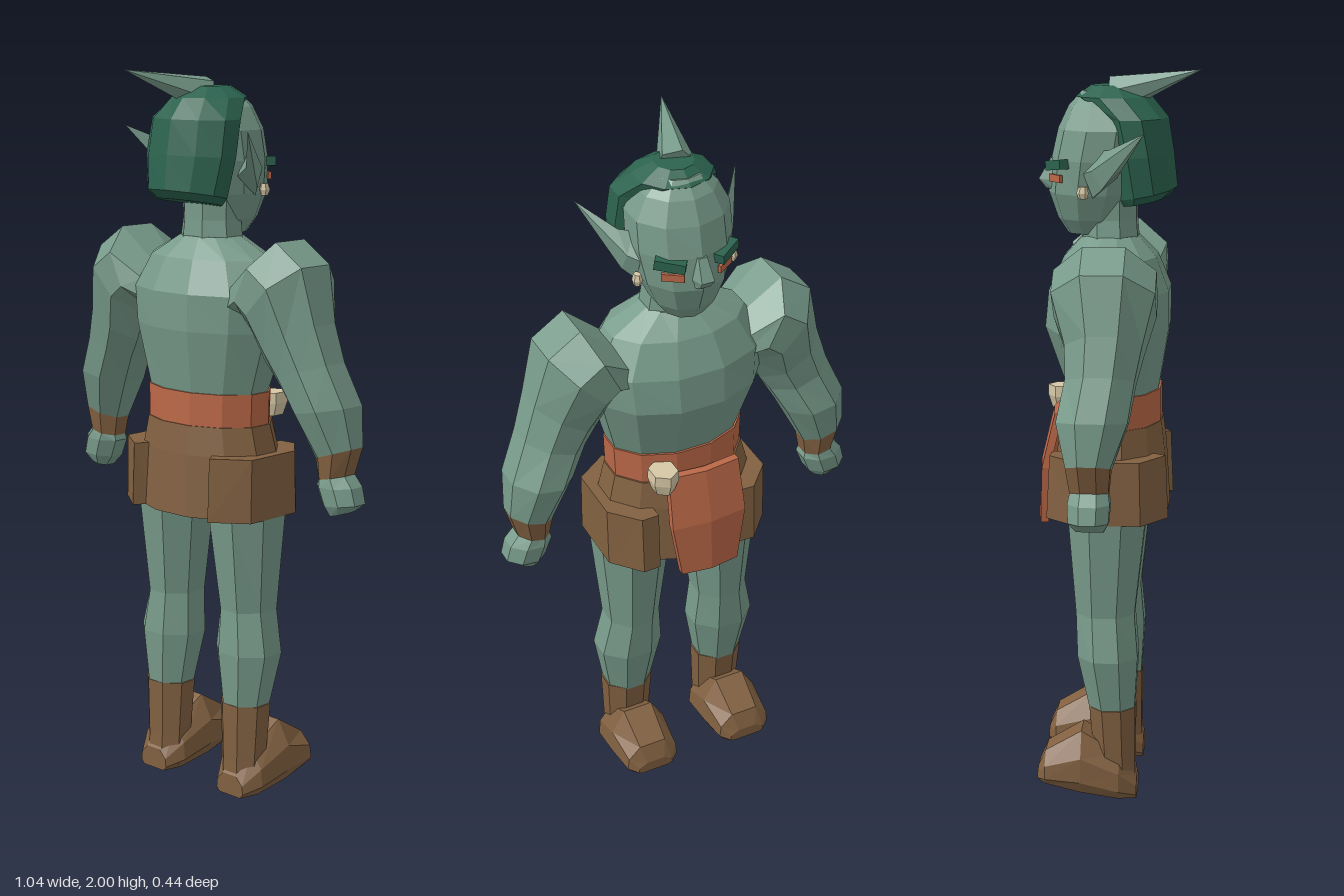
import * as THREE from 'three';

const mat = (name, color) => {
  const m = new THREE.MeshStandardMaterial({ color });
  m.name = name;
  return m;
};
const V = (x, y, z) => new THREE.Vector3(x, y, z);

// Closed faceted solid through rings of equal point count, turned outward by its signed volume
function loft(rings) {
  const tris = [];
  const n = rings[0].length;
  for (let i = 0; i + 1 < rings.length; i++) {
    for (let j = 0; j < n; j++) {
      const k = (j + 1) % n;
      const [a, b, c, d] = [rings[i][j], rings[i][k], rings[i + 1][k], rings[i + 1][j]];
      tris.push([a, b, c], [a, c, d]);
    }
  }
  const end = rings[rings.length - 1];
  for (let j = 1; j + 1 < n; j++) {
    tris.push([rings[0][0], rings[0][j + 1], rings[0][j]], [end[0], end[j], end[j + 1]]);
  }
  const origin = rings[0][0];
  let volume = 0;
  for (const [a, b, c] of tris) {
    volume += a.clone().sub(origin).dot(b.clone().sub(origin).cross(c.clone().sub(origin)));
  }
  const pos = [];
  for (const [a, b, c] of tris) {
    if (b.clone().sub(a).cross(c.clone().sub(a)).lengthSq() < 1e-16) continue;
    for (const p of volume < 0 ? [a, c, b] : [a, b, c]) pos.push(p.x, p.y, p.z);
  }
  const g = new THREE.BufferGeometry();
  g.setAttribute('position', new THREE.Float32BufferAttribute(pos, 3));
  g.computeVertexNormals();
  return g;
}

// Level ring with flat sides: height, centre x, half width, back z, face-side z, optional slope in z
function ring(n, y, cx, rx, zb, zf, slope = 0) {
  const s = 1 / Math.cos(Math.PI / n);
  return Array.from({ length: n }, (_, i) => {
    const a = ((i + 0.5) / n) * Math.PI * 2;
    const z = (zb + zf) / 2 + ((zb - zf) / 2) * s * Math.sin(a);
    return V(cx + rx * s * Math.cos(a), y + slope * z, z);
  });
}
const column = (n, rows) => loft(rows.map(r => ring(n, ...r)));

// Ring spanned between an outer and an inner point of a limb
function limbRing(side, [ox, oy, ix, iy, cz, hz]) {
  const s = 1 / Math.cos(Math.PI / 8);
  return Array.from({ length: 8 }, (_, i) => {
    const a = ((i + 0.5) / 8) * Math.PI * 2;
    const t = (Math.cos(a) * s) / 2;
    return V(side * ((ox + ix) / 2 + (ox - ix) * t), (oy + iy) / 2 + (oy - iy) * t, cz + hz * s * Math.sin(a));
  });
}

export function createModel() {
  const model = new THREE.Group();
  const skin = mat('green skin', 0x789b8b);
  const hair = mat('dark green hair', 0x2c634f);
  const leather = mat('brown leather', 0x826141);
  const cloth = mat('rust cloth', 0xbb6848);
  const bone = mat('bone', 0xd6c8a6);
  const add = (name, geo, m) => {
    const mesh = new THREE.Mesh(geo, m);
    mesh.name = name;
    model.add(mesh);
    return mesh;
  };

  // Torso, neck and clothing round the waist
  add('torso', column(12, [
    [1.12, 0, 0.185, 0.105, -0.14], [1.14, 0, 0.188, 0.107, -0.142], [1.31, 0, 0.235, 0.135, -0.2],
    [1.41, 0, 0.245, 0.135, -0.19], [1.5, 0, 0.19, 0.1, -0.15], [1.555, 0, 0.09, 0.05, -0.1]]), skin);
  add('neck', column(8, [[1.53, 0, 0.09, 0.05, -0.1], [1.6, 0, 0.08, 0.045, -0.1], [1.7, 0, 0.085, 0.045, -0.1]]), skin);
  add('waistSash', column(12, [[1.03, 0, 0.188, 0.113, -0.15], [1.14, 0, 0.192, 0.112, -0.148]]), cloth);
  add('skirt', column(12, [
    [0.8, 0, 0.225, 0.135, -0.18], [0.97, 0, 0.212, 0.125, -0.17], [1.05, 0, 0.192, 0.116, -0.155]]), leather);

  // Loincloth, bent along its middle
  const clothRow = (y, hw, z) => [
    V(-0.02 - hw, y, z + 0.012), V(-0.02, y, z), V(-0.02 + hw, y, z + 0.012),
    V(-0.02 + hw, y, z + 0.034), V(-0.02, y, z + 0.022), V(-0.02 - hw, y, z + 0.034)];
  add('loincloth', loft([clothRow(0.77, 0.085, -0.225), clothRow(0.93, 0.11, -0.218), clothRow(1.08, 0.105, -0.182)]), cloth);
  add('beltCharm', column(6, [
    [1.05, 0.1, 0.026, -0.13, -0.195], [1.085, 0.1, 0.036, -0.125, -0.205], [1.115, 0.1, 0.034, -0.125, -0.205]]), bone);

  // Head with the face toward -z
  add('head', column(10, [
    [1.56, 0, 0.055, -0.02, -0.14], [1.6, 0, 0.085, 0.01, -0.165], [1.67, 0, 0.115, 0.05, -0.188],
    [1.76, 0, 0.132, 0.07, -0.18], [1.84, 0, 0.13, 0.08, -0.162], [1.9, 0, 0.1, 0.05, -0.135],
    [1.94, 0, 0.06, 0, -0.1]]), skin);
  add('nose', loft([
    [V(-0.015, 1.765, -0.17), V(0.015, 1.765, -0.17), V(0.012, 1.76, -0.188), V(-0.012, 1.76, -0.188)],
    [V(-0.03, 1.7, -0.17), V(0.03, 1.7, -0.17), V(0.018, 1.705, -0.22), V(-0.018, 1.705, -0.22)],
    [V(-0.028, 1.675, -0.17), V(0.028, 1.675, -0.17), V(0.015, 1.68, -0.2), V(-0.015, 1.68, -0.2)]]), skin);
  add('hair', column(10, [
    [1.635, 0, 0.105, 0.125, 0, 0.2], [1.655, 0, 0.125, 0.15, -0.01, 0.2], [1.77, 0, 0.141, 0.14, -0.03, 0.05],
    [1.87, 0, 0.137, 0.125, -0.055], [1.925, 0, 0.1, 0.08, -0.115], [1.955, 0, 0.05, 0.03, -0.075]]), hair);

  // Swept back horn
  const hornBase = V(-0.012, 1.93, -0.01);
  const hornTip = V(-0.085, 2, 0.22);
  const horn = new THREE.ConeGeometry(0.052, hornTip.distanceTo(hornBase), 6).toNonIndexed();
  horn.computeVertexNormals();
  const hornMesh = add('horn', horn, skin);
  hornMesh.position.copy(hornBase).lerp(hornTip, 0.5);
  hornMesh.quaternion.setFromUnitVectors(V(0, 1, 0), hornTip.clone().sub(hornBase).normalize());

  for (const s of [1, -1]) {
    const side = s > 0 ? 'left' : 'right';
    const tip = V(s * 0.23, 1.845, 0.078);
    add(side + 'Ear', loft([
      [V(s * 0.12, 1.79, -0.04), V(s * 0.125, 1.73, -0.09), V(s * 0.125, 1.665, -0.065), V(s * 0.12, 1.72, 0)],
      [V(s * 0.155, 1.795, -0.02), V(s * 0.15, 1.74, -0.065), V(s * 0.155, 1.69, -0.04), V(s * 0.165, 1.745, 0.015)],
      [tip, tip, tip, tip]]), skin);
    add(side + 'Earring', column(6, [
      [1.665, s * 0.135, 0.008, -0.08, -0.1], [1.68, s * 0.135, 0.012, -0.077, -0.105],
      [1.697, s * 0.135, 0.008, -0.08, -0.1]]), bone);

    // Brow and eye lie against the slanted cheek
    const brow = add(side + 'Brow', new THREE.BoxGeometry(0.08, 0.026, 0.03), hair);
    brow.position.set(s * 0.078, 1.748, -0.163);
    brow.rotation.set(0, -s * 0.6, s * 0.12);
    const eye = add(side + 'Eye', new THREE.BoxGeometry(0.06, 0.02, 0.009), cloth);
    eye.position.set(s * 0.073, 1.712, -0.168);
    eye.rotation.y = -s * 0.6;

    // Arm from shoulder to wrist, band and hand
    const limb = rows => loft(rows.map(r => limbRing(s, r)));
    const wrist = [0.507, 1.03, 0.385, 0.99, -0.05, 0.058];
    const cuff = [0.485, 0.955, 0.395, 0.935, -0.048, 0.05];
    add(side + 'Arm', limb([
      [0.18, 1.47, 0.13, 1.33, -0.02, 0.1], [0.29, 1.56, 0.185, 1.34, -0.022, 0.135],
      [0.38, 1.5, 0.205, 1.32, -0.022, 0.135], [0.418, 1.35, 0.245, 1.24, -0.018, 0.1],
      [0.45, 1.25, 0.28, 1.19, -0.025, 0.09], [0.497, 1.14, 0.325, 1.11, -0.042, 0.092], wrist]), skin);
    add(side + 'Wristband', limb([wrist, cuff]), leather);
    add(side + 'Hand', limb([
      cuff, [0.51, 0.925, 0.39, 0.92, -0.048, 0.055], [0.522, 0.88, 0.41, 0.87, -0.048, 0.052],
      [0.49, 0.855, 0.435, 0.84, -0.045, 0.035]]), skin);

    // Leather panel wrapped round the hip
    const panel = (y, k) => [[0.145, 0.14], [0.24, 0.07], [0.24, -0.11], [0.17, -0.19], [0.12, -0.188], [0.12, 0.1]]
      .map(([x, z]) => V(s * x, y, z * k));
    add(side + 'HipPanel', loft([panel(0.8, 1), panel(0.975, 0.95)]), leather);

    // Leg and boot
    add(side + 'Leg', column(8, [
      [0.24, s * 0.148, 0.062, 0.05, -0.07], [0.41, s * 0.148, 0.092, 0.06, -0.105],
      [0.53, s * 0.14, 0.075, 0.05, -0.11], [0.8, s * 0.135, 0.104, 0.08, -0.13],
      [0.88, s * 0.125, 0.105, 0.085, -0.13]]), skin);
    add(side + 'BootShaft', column(8, [
      [0.015, s * 0.148, 0.062, 0.056, -0.06], [0.1, s * 0.148, 0.062, 0.052, -0.06],
      [0.262, s * 0.148, 0.07, 0.053, -0.074]]), leather);
    const footRows = [
      [0.058, 0.05, 0, 0.06], [0.01, 0.08, 0.006, 0.13], [-0.095, 0.088, 0.024, 0.195],
      [-0.195, 0.08, 0.045, 0.135], [-0.217, 0.055, 0.05, 0.085]];
    add(side + 'Foot', loft(footRows.map(([z, w, y0, y1]) => [
      [-0.8, 0], [0.8, 0], [1, 0.2], [0.95, 0.6], [0.5, 1], [-0.5, 1], [-0.95, 0.6], [-1, 0.2]]
      .map(([u, v]) => V(s * 0.152 + u * w, y0 + (y1 - y0) * v, z)))), leather);
  }
  return model;
}
